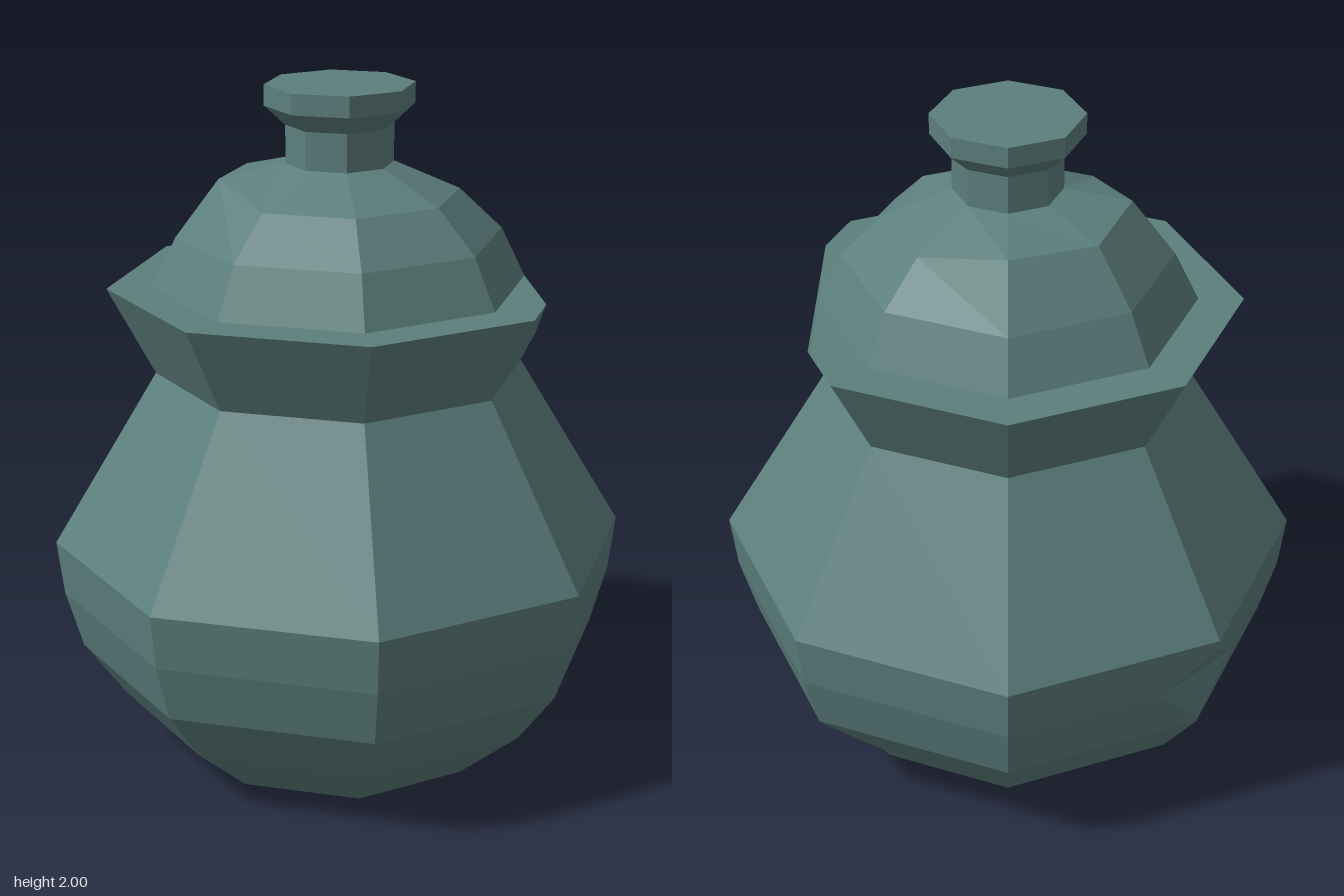
import * as THREE from 'three';

const SIDES = 8;

// Octagonal shell from [radius, y] rings. A chip cuts off the corner at (ring, col);
// its up, down and side values say how far along each edge the cut reaches.
function facetedShell(name, profile, material, { chips = [], heights = {} } = {}) {
  const wrap = k => (k + SIDES) % SIDES;
  const point = ([i, k]) => {
    const a = (wrap(k) / SIDES) * Math.PI * 2;
    const [r, y] = profile[i];
    return new THREE.Vector3(r * Math.cos(a), heights[`${i},${wrap(k)}`] ?? y, r * Math.sin(a));
  };
  const chipAt = ([i, k]) => chips.find(c => c.ring === i && c.col === wrap(k));
  const cut = (c, from, to) => {
    const t = to[0] > from[0] ? c.up : to[0] < from[0] ? c.down : c.side;
    return point(from).lerp(point(to), t);
  };

  const positions = [];
  const addFace = pts => {
    for (let j = 1; j < pts.length - 1; j++) {
      const tri = new THREE.Triangle(pts[0], pts[j], pts[j + 1]);
      if (tri.getArea() < 1e-7) continue;
      for (const p of [tri.a, tri.b, tri.c]) positions.push(p.x, p.y, p.z);
    }
  };

  for (let i = 0; i < profile.length - 1; i++) {
    for (let k = 0; k < SIDES; k++) {
      const corners = [[i, k], [i + 1, k], [i + 1, k + 1], [i, k + 1]];
      addFace(corners.flatMap((c, n) => {
        const chip = chipAt(c);
        if (!chip) return [point(c)];
        return [cut(chip, c, corners[(n + 3) % 4]), cut(chip, c, corners[(n + 1) % 4])];
      }));
    }
  }

  // Two facets close each chip, meeting along a level crease
  for (const c of chips) {
    const v = [c.ring, c.col];
    const up = cut(c, v, [c.ring + 1, c.col]);
    const down = cut(c, v, [c.ring - 1, c.col]);
    const left = cut(c, v, [c.ring, c.col - 1]);
    const right = cut(c, v, [c.ring, c.col + 1]);
    addFace([up, right, left]);
    addFace([left, right, down]);
  }

  const geometry = new THREE.BufferGeometry();
  geometry.setAttribute('position', new THREE.Float32BufferAttribute(positions, 3));
  geometry.computeVertexNormals();
  const mesh = new THREE.Mesh(geometry, material);
  mesh.name = name;
  return mesh;
}

export function createModel() {
  const group = new THREE.Group();
  group.name = 'lidded urn';
  const glaze = new THREE.MeshStandardMaterial({ color: 0x5c7f7d, flatShading: true });
  glaze.name = 'grey teal glaze';

  // Round belly, sloping shoulder and flared rim
  const body = facetedShell('body', [
    [0, 0], [0.45, 0], [0.65, 0.17], [0.77, 0.33], [0.82, 0.5], [0.84, 0.66],
    [0.535, 1.17], [0.67, 1.425], [0.54, 1.425],
  ], glaze, {
    chips: [
      { ring: 2, col: 0, up: 0.88, down: 0.7, side: 0.35 },  // left foot
      { ring: 4, col: 6, up: 0.8, down: 0.9, side: 0.26 },   // back of the belly
      { ring: 7, col: 1, up: 1, down: 0.69, side: 0.67 },    // front corner of the rim
    ],
  });

  // Domed lid, raised a little at the back
  const lid = facetedShell('lid', [
    [0.54, 1.425], [0.47, 1.57], [0.345, 1.69], [0.155, 1.775],
  ], glaze, { heights: { '2,5': 1.735, '2,6': 1.725, '2,7': 1.735 } });

  // Knob with a narrow neck
  const knob = facetedShell('knob', [
    [0.155, 1.775], [0.155, 1.885], [0.215, 1.94], [0.215, 2], [0, 2],
  ], glaze);

  group.add(body, lid, knob);
  return group;
}
